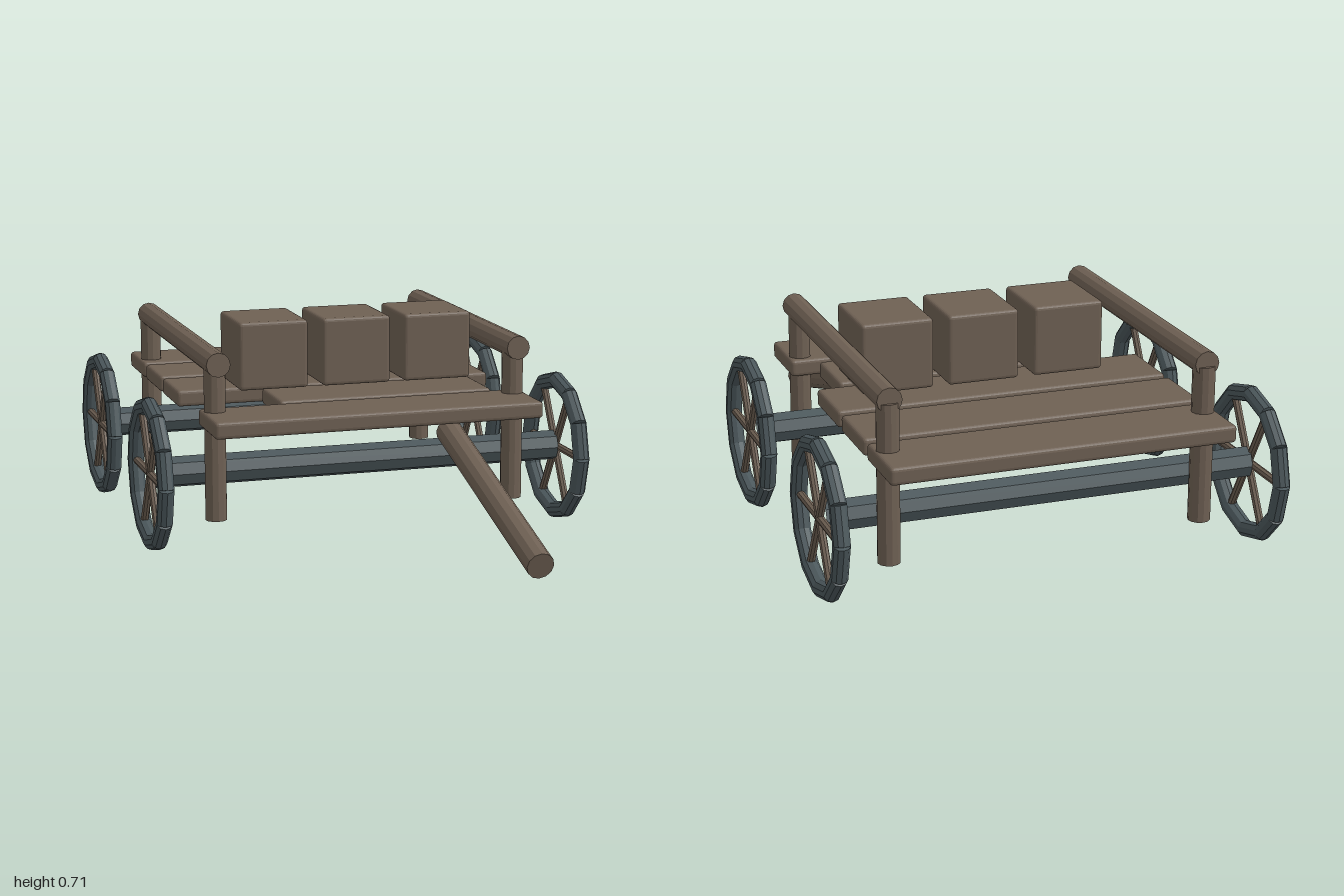
import * as THREE from 'three';
import { RoundedBoxGeometry } from 'three/addons/geometries/RoundedBoxGeometry.js';

const wood = new THREE.MeshStandardMaterial({ color: 0x6e6053, flatShading: true });
const iron = new THREE.MeshStandardMaterial({ color: 0x4b575b, flatShading: true });

export function createModel() {
  const cart = new THREE.Group();
  cart.name = 'cart';

  const add = (parent, name, geometry, material, x, y, z) => {
    const mesh = new THREE.Mesh(geometry, material);
    mesh.name = name;
    mesh.position.set(x, y, z);
    parent.add(mesh);
    return mesh;
  };
  const box = (name, w, h, d, x, y, z) =>
    add(cart, name, new RoundedBoxGeometry(w, h, d, 2, 0.012), wood, x, y, z);

  // Round pole between two points
  const pole = (name, from, to, radius) => {
    const a = new THREE.Vector3(...from), b = new THREE.Vector3(...to);
    const dir = b.clone().sub(a);
    const mid = a.clone().add(b).multiplyScalar(0.5);
    const mesh = add(cart, name, new THREE.CylinderGeometry(radius, radius, dir.length(), 12), wood, mid.x, mid.y, mid.z);
    mesh.quaternion.setFromUnitVectors(new THREE.Vector3(0, 1, 0), dir.normalize());
  };

  // Bed of five planks, one of them broken short
  for (let i = 0; i < 5; i++) {
    const short = i === 1;
    box('plank', short ? 0.74 : 1.11, 0.056, 0.234, short ? 0.1 : 0, 0.442, 0.213 - i * 0.265);
  }

  // Cargo blocks
  for (const x of [-0.25, 0.04, 0.328]) box('cargoBlock', 0.238, 0.23, 0.266, x, 0.596, -0.212);

  // Side rails on posts
  for (const x of [-0.512, 0.512]) {
    pole('sideRail', [x, 0.63, 0.205], [x, 0.63, -0.828], 0.04);
    for (const z of [0.15, -0.805]) pole('post', [x, 0.11, z], [x, 0.62, z], 0.036);
  }

  // Draw pole
  pole('drawPole', [0.285, 0.355, 0.16], [0.285, 0.112, 0.987], 0.044);

  // Wheel in the YZ plane: twelve straight rim pieces and three crossing spokes
  const rimPiece = new THREE.CylinderGeometry(0.027, 0.027, 0.122, 10);
  const spoke = new THREE.CylinderGeometry(0.013, 0.013, 0.43, 8);
  const makeWheel = () => {
    const wheel = new THREE.Group();
    wheel.name = 'wheel';
    for (let i = 0; i < 12; i++) {
      const a = (i + 0.5) * Math.PI / 6;
      const piece = add(wheel, 'rimPiece', rimPiece, iron, 0, Math.sin(a) * 0.221, Math.cos(a) * 0.221);
      piece.rotation.x = -a;
    }
    for (let i = 0; i < 3; i++) {
      add(wheel, 'spoke', spoke, wood, 0, 0, 0).rotation.x = Math.PI / 2 + i * Math.PI / 3;
    }
    return wheel;
  };

  // Hollow axles with a wheel at each end
  for (const z of [0.063, -0.745]) {
    const axle = add(cart, 'axle', new THREE.CylinderGeometry(0.051, 0.051, 1.4, 8, 1, true), iron, 0, 0.258, z);
    axle.rotation.z = Math.PI / 2;
    for (const x of [-0.709, 0.709]) {
      const wheel = makeWheel();
      wheel.position.set(x, 0.256, z);
      cart.add(wheel);
    }
  }

  return cart;
}
